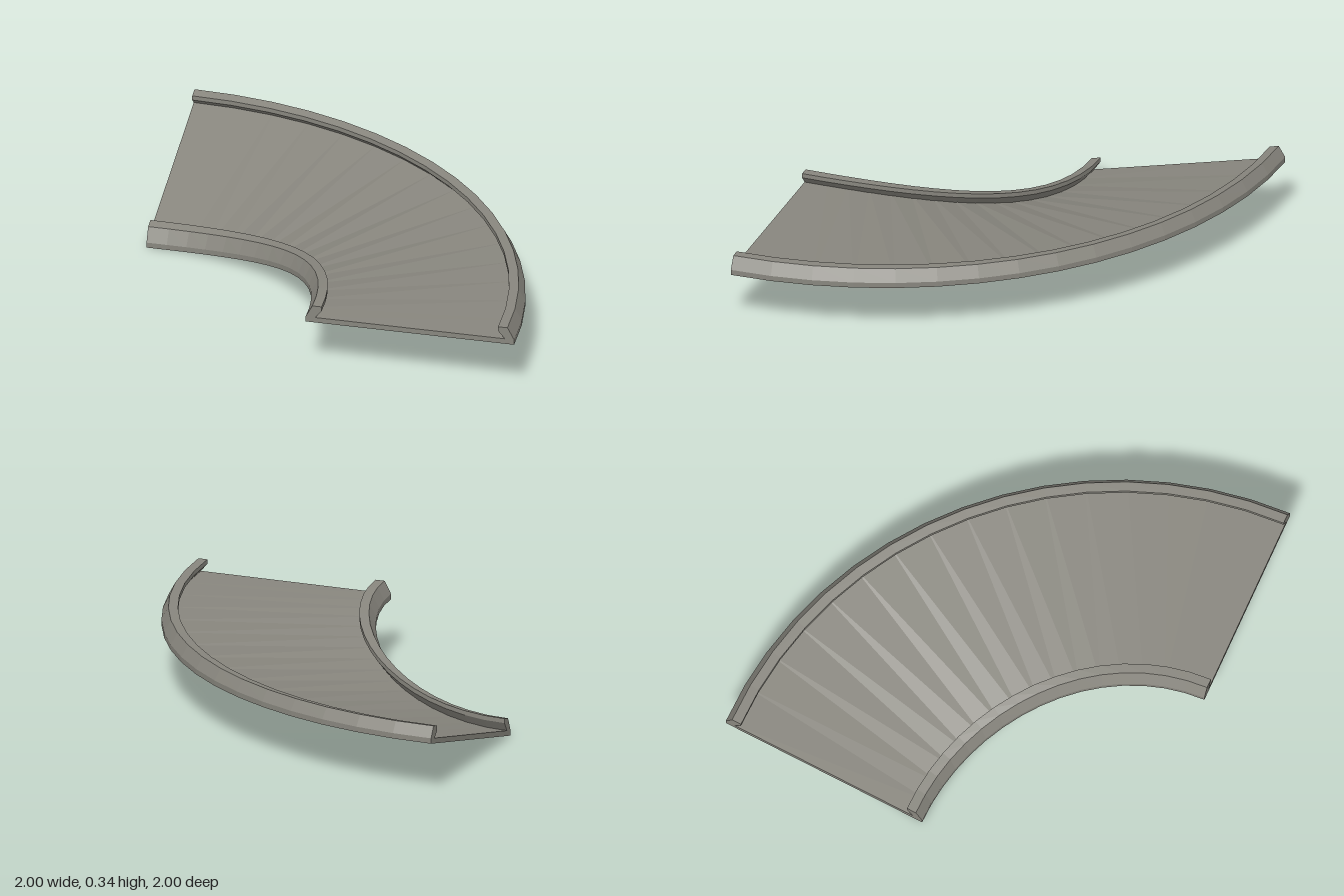
import * as THREE from 'three';

const SEGMENTS = 16; // steps along the quarter turn
const RISE = 0.255;  // height gained by the inner edge along the bend

// Point on the banked bend: r is the radius, h the height above the underside
function bendPoint(r, h, step) {
  const t = (step / SEGMENTS) * Math.PI / 2;
  const bank = RISE * (1 - (2 - r) * Math.cos(t) ** 2);
  return [-1 + r * Math.sin(t), h + bank, 1 - r * Math.cos(t)];
}

// Sweep a convex, counter-clockwise [radius, height] profile and cap both ends
function sweep(profile) {
  const pos = [];
  const add = (...corners) => corners.forEach(([p, s]) => pos.push(...bendPoint(p[0], p[1], s)));
  const n = profile.length;
  for (let s = 0; s < SEGMENTS; s++) {
    for (let k = 0; k < n; k++) {
      const a = profile[k], b = profile[(k + 1) % n];
      add([a, s], [b, s], [b, s + 1]);
      add([a, s], [b, s + 1], [a, s + 1]);
    }
  }
  for (let k = 1; k < n - 1; k++) {
    const [a, b, c] = [profile[0], profile[k], profile[k + 1]];
    add([a, SEGMENTS], [b, SEGMENTS], [c, SEGMENTS]);
    add([a, 0], [c, 0], [b, 0]);
  }
  const geo = new THREE.BufferGeometry();
  geo.setAttribute('position', new THREE.Float32BufferAttribute(pos, 3));
  geo.computeVertexNormals();
  return geo;
}

export function createModel() {
  const group = new THREE.Group();
  group.name = 'bankedTrackBend';
  const concrete = new THREE.MeshStandardMaterial({ color: 0x88867e, flatShading: true });
  concrete.name = 'concrete grey';

  const addPart = (name, profile) => {
    const mesh = new THREE.Mesh(sweep(profile), concrete);
    mesh.name = name;
    group.add(mesh);
  };

  // Road slab, twisting from banked to level
  addPart('deck', [[1, 0], [2, 0], [2, 0.026], [1, 0.026]]);

  // Kerb rails: sloped outside, overhanging lip towards the road
  const rail = [[1, 0.026], [1.045, 0.026], [1.077, 0.064], [1.077, 0.086], [1.032, 0.086]];
  addPart('innerRail', rail);
  addPart('outerRail', rail.map(([r, h]) => [3 - r, h]).reverse());

  return group;
}
